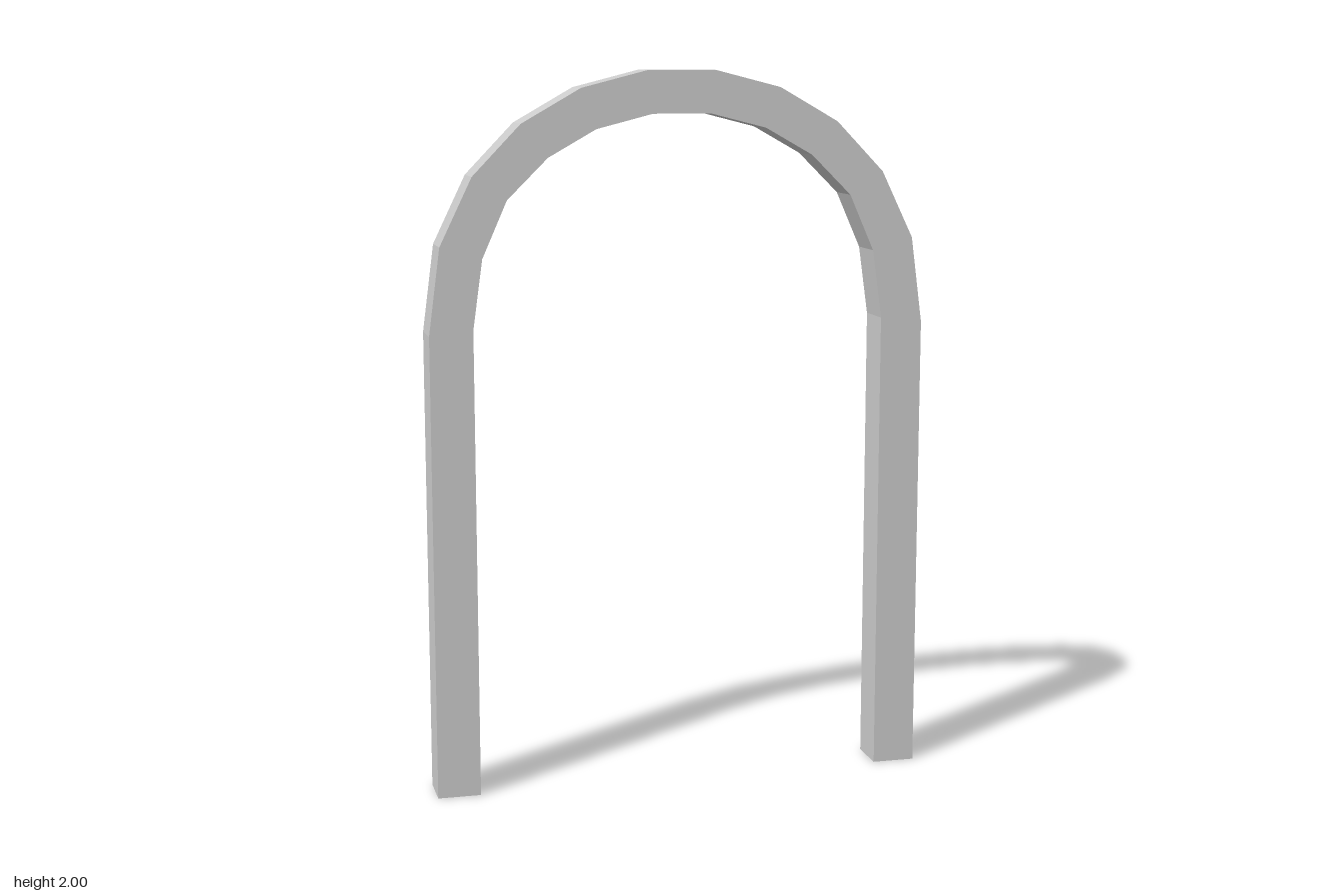
import * as THREE from 'three';

// Right half of the arch curve, from spring line to crown
const OUTER = [[0.7, 1.295], [0.668, 1.534], [0.578, 1.72], [0.444, 1.859], [0.279, 1.953], [0.094, 2]];
const INNER = [[0.58, 1.309], [0.553, 1.5], [0.484, 1.656], [0.371, 1.768], [0.238, 1.843], [0.081, 1.883]];
const DEPTH = 0.12;

// Full curve from +x foot over the crown to -x foot
function archLine(half) {
  const right = [[half[0][0], 0], ...half];
  const left = right.map(([x, y]) => [-x, y]).reverse();
  return [...right, ...left].map(([x, y]) => new THREE.Vector2(x, y));
}

export function createModel() {
  const group = new THREE.Group();
  group.name = 'archway';

  // One square-section bar: two straight legs joined by a faceted arch
  const shape = new THREE.Shape([...archLine(OUTER), ...archLine(INNER).reverse()]);
  const geometry = new THREE.ExtrudeGeometry(shape, { depth: DEPTH, bevelEnabled: false });
  geometry.translate(0, 0, -DEPTH / 2);

  const arch = new THREE.Mesh(
    geometry,
    new THREE.MeshStandardMaterial({ color: 0xcccccc, flatShading: true })
  );
  arch.name = 'archFrame';
  group.add(arch);
  return group;
}
